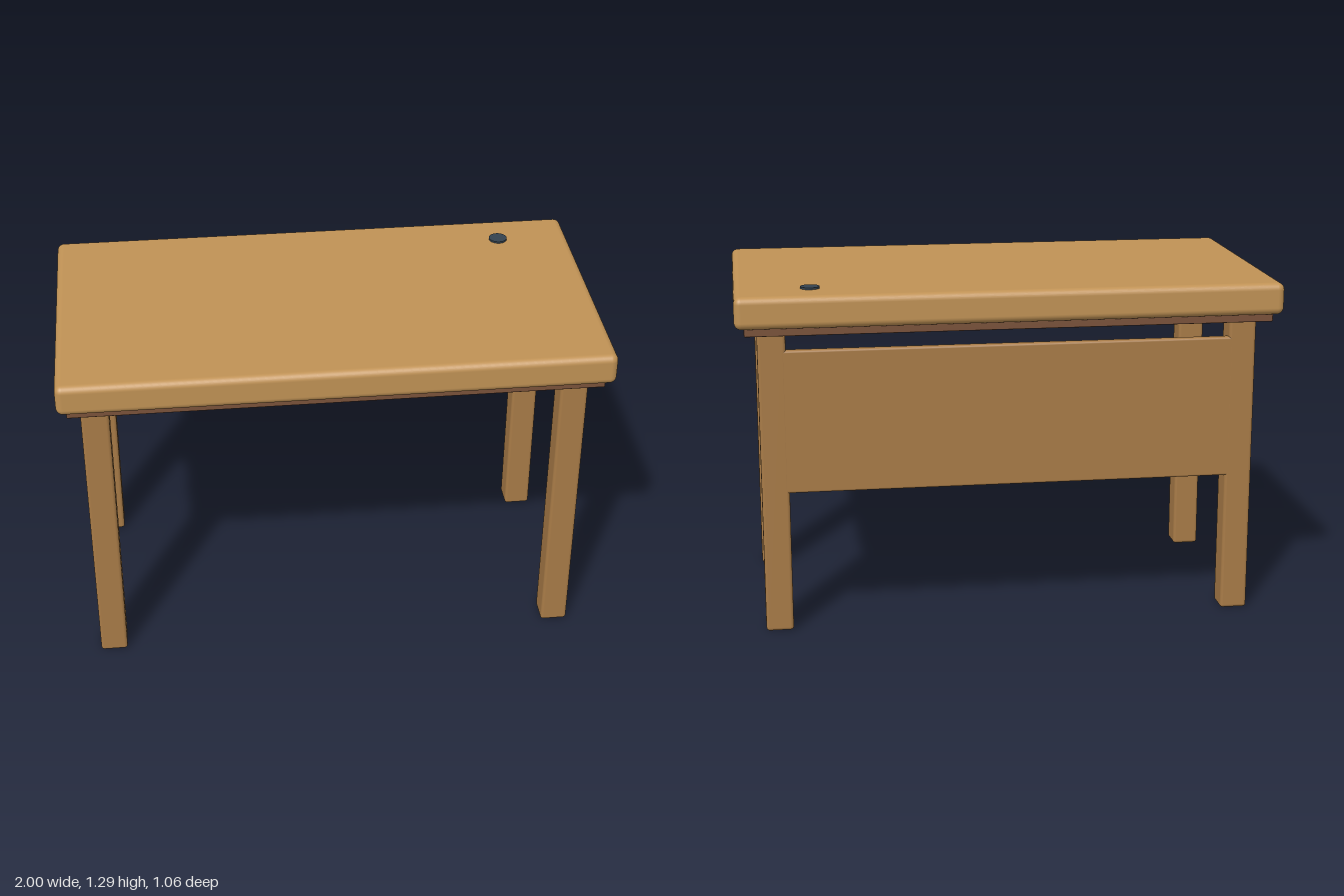
import * as THREE from 'three';
import { RoundedBoxGeometry } from 'three/addons/geometries/RoundedBoxGeometry.js';

const material = (color) => new THREE.MeshStandardMaterial({ color });

export function createModel() {
  const desk = new THREE.Group();
  desk.name = 'desk';
  const topWood = material(0xc09255);
  const legWood = material(0xa87b47);
  const darkWood = material(0x7a523a);
  const plastic = material(0x34424f);

  // Rounded board placed by its centre in x and z and its bottom height
  const board = (name, [w, h, d], [x, bottom, z], radius, segments, mat) => {
    const mesh = new THREE.Mesh(new RoundedBoxGeometry(w, h, d, segments, radius), mat);
    mesh.position.set(x, bottom + h / 2, z);
    mesh.name = name;
    desk.add(mesh);
  };

  // Thick softened top on a thinner dark board
  board('desktop', [2, 0.118, 1.056], [0, 1.167, 0], 0.026, 4, topWood);
  board('underFrame', [1.932, 0.032, 0.988], [0, 1.137, 0], 0.004, 1, darkWood);

  // Four square legs with eased edges
  for (const [side, x] of [['Left', 0.87], ['Right', -0.87]]) {
    for (const [end, z] of [['front', 0.386], ['back', -0.386]]) {
      board(`${end}${side}Leg`, [0.102, 1.145, 0.102], [x, 0, z], 0.012, 2, legWood);
    }
  }

  // Panel between the back legs, flush with their outer faces
  board('backPanel', [1.68, 0.535, 0.035], [0, 0.535, -0.419], 0.008, 2, legWood);

  // Round cable cap in the back left corner of the top
  const cap = new THREE.Mesh(new THREE.CylinderGeometry(0.035, 0.035, 0.018, 32), plastic);
  cap.name = 'cableCap';
  cap.position.set(0.724, 1.283, -0.37);
  desk.add(cap);

  return desk;
}
